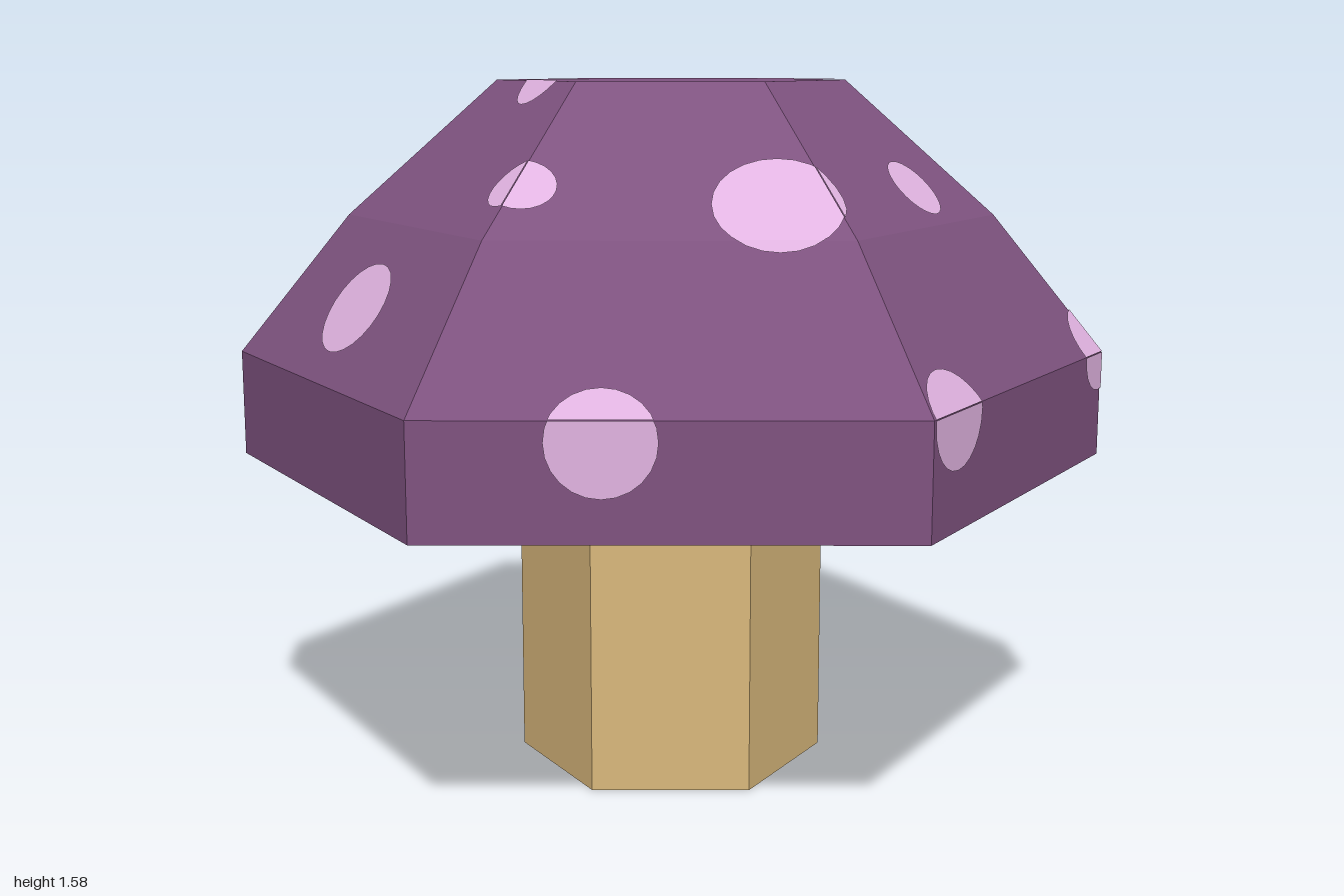
import * as THREE from 'three';

const V = (x, y, z) => new THREE.Vector3(x, y, z);

// Flat-shaded geometry from a list of convex polygons
function polygonsToGeometry(polygons) {
  const points = [];
  for (const p of polygons) {
    for (let i = 1; i < p.length - 1; i++) points.push(p[0], p[i], p[i + 1]);
  }
  const geometry = new THREE.BufferGeometry().setFromPoints(points);
  geometry.computeVertexNormals();
  return geometry;
}

// Hexagonal solid from [radius, height] rings, listed bottom to top
function hexFaces(profile) {
  const rings = profile.map(([r, y]) => Array.from({ length: 6 }, (_, i) =>
    V(r * Math.sin(i * Math.PI / 3), y, r * Math.cos(i * Math.PI / 3))));
  const faces = [[...rings[0]].reverse(), rings[rings.length - 1]];
  for (let k = 0; k < rings.length - 1; k++) {
    for (let i = 0; i < 6; i++) {
      const j = (i + 1) % 6;
      faces.push([rings[k][i], rings[k][j], rings[k + 1][j], rings[k + 1][i]]);
    }
  }
  return faces;
}

function faceNormal(face) {
  return face[1].clone().sub(face[0]).cross(face[2].clone().sub(face[0])).normalize();
}

// Keep the part of a polygon that lies inside a convex face
function clipToFace(polygon, face, normal) {
  face.forEach((start, i) => {
    const inward = normal.clone().cross(face[(i + 1) % face.length].clone().sub(start));
    const side = (p) => p.clone().sub(start).dot(inward);
    const kept = [];
    polygon.forEach((p, k) => {
      const q = polygon[(k + 1) % polygon.length];
      const a = side(p), b = side(q);
      if (a >= 0) kept.push(p);
      if ((a >= 0) !== (b >= 0)) kept.push(p.clone().lerp(q, a / (a - b)));
    });
    polygon = kept;
  });
  return polygon;
}

// Oval spot wrapped over every cap face it touches
function spotGeometry(faces, [x, y, z, halfWidth, halfHeight]) {
  const centre = V(x, y, z);
  const axis = V(0, 0, 0);
  for (const face of faces) {
    const n = faceNormal(face);
    if (n.y > -0.5 && centre.clone().sub(face[0]).dot(n) > -0.03) axis.add(n);
  }
  axis.normalize();
  const across = axis.y > 0.95 ? V(1, 0, 0) : V(0, 1, 0).cross(axis).normalize();
  const up = axis.clone().cross(across).normalize();
  const patches = [];
  for (const face of faces) {
    const n = faceNormal(face);
    const facing = axis.dot(n);
    if (facing < 0.2) continue;
    const oval = Array.from({ length: 24 }, (_, i) => {
      const t = i * Math.PI / 12;
      const p = centre.clone().addScaledVector(across, halfWidth * Math.cos(t))
        .addScaledVector(up, halfHeight * Math.sin(t));
      return p.addScaledVector(axis, face[0].clone().sub(p).dot(n) / facing);
    });
    const patch = clipToFace(oval, face, n);
    if (patch.length > 2) patches.push(patch.map((p) => p.clone().addScaledVector(n, 0.003)));
  }
  return polygonsToGeometry(patches);
}

export function createModel() {
  const capPurple = new THREE.MeshStandardMaterial({ color: 0x7f5380 });
  capPurple.name = 'cap purple';
  const stemTan = new THREE.MeshStandardMaterial({ color: 0xd9b87c });
  stemTan.name = 'stem tan';
  const spotPink = new THREE.MeshStandardMaterial({ color: 0xe2b4e2 });
  spotPink.name = 'spot pink';

  const model = new THREE.Group();
  model.name = 'mushroom';
  const add = (name, geometry, material, parent = model) => {
    const mesh = new THREE.Mesh(geometry, material);
    mesh.name = name;
    parent.add(mesh);
  };

  // Stem
  add('stem', polygonsToGeometry(hexFaces([[0.355, 0], [0.355, 0.716]])), stemTan);

  // Cap: upright rim, two slopes and a flat top
  const capFaces = hexFaces([[1, 0.715], [1, 0.957], [0.74, 1.275], [0.395, 1.58]]);
  add('cap', polygonsToGeometry(capFaces), capPurple);

  // Spots: x, y, z, half width, half height
  const spots = new THREE.Group();
  spots.name = 'spots';
  model.add(spots);
  [
    // front
    [-0.545, 0.915, 0.685, 0.11, 0.105],
    [0.105, 0.945, 0.94, 0.12, 0.1],
    [-0.1, 1.34, 0.608, 0.135, 0.12],
    [0.347, 1.35, 0.456, 0.08, 0.077],
    // front corners
    [0.86, 0.975, 0.49, 0.105, 0.1],
    [-0.53, 1.375, 0.315, 0.075, 0.065],
    // sides
    [0.557, 1.36, -0.065, 0.067, 0.08],
    [0.866, 0.884, -0.233, 0.105, 0.105],
    [-0.76, 1.105, -0.013, 0.13, 0.11],
    // back
    [0.1, 1.45, -0.49, 0.075, 0.078],
    [0.52, 1.115, -0.57, 0.092, 0.1],
    [-0.43, 1.374, -0.38, 0.115, 0.12],
    [-0.25, 1.08, -0.755, 0.073, 0.07],
    [-0.762, 0.765, -0.56, 0.09, 0.095],
    // top
    [0.25, 1.58, 0.135, 0.09, 0.083],
    [-0.325, 1.58, 0.04, 0.075, 0.083],
  ].forEach((spot, i) => add(`spot${i + 1}`, spotGeometry(capFaces, spot), spotPink, spots));

  return model;
}
